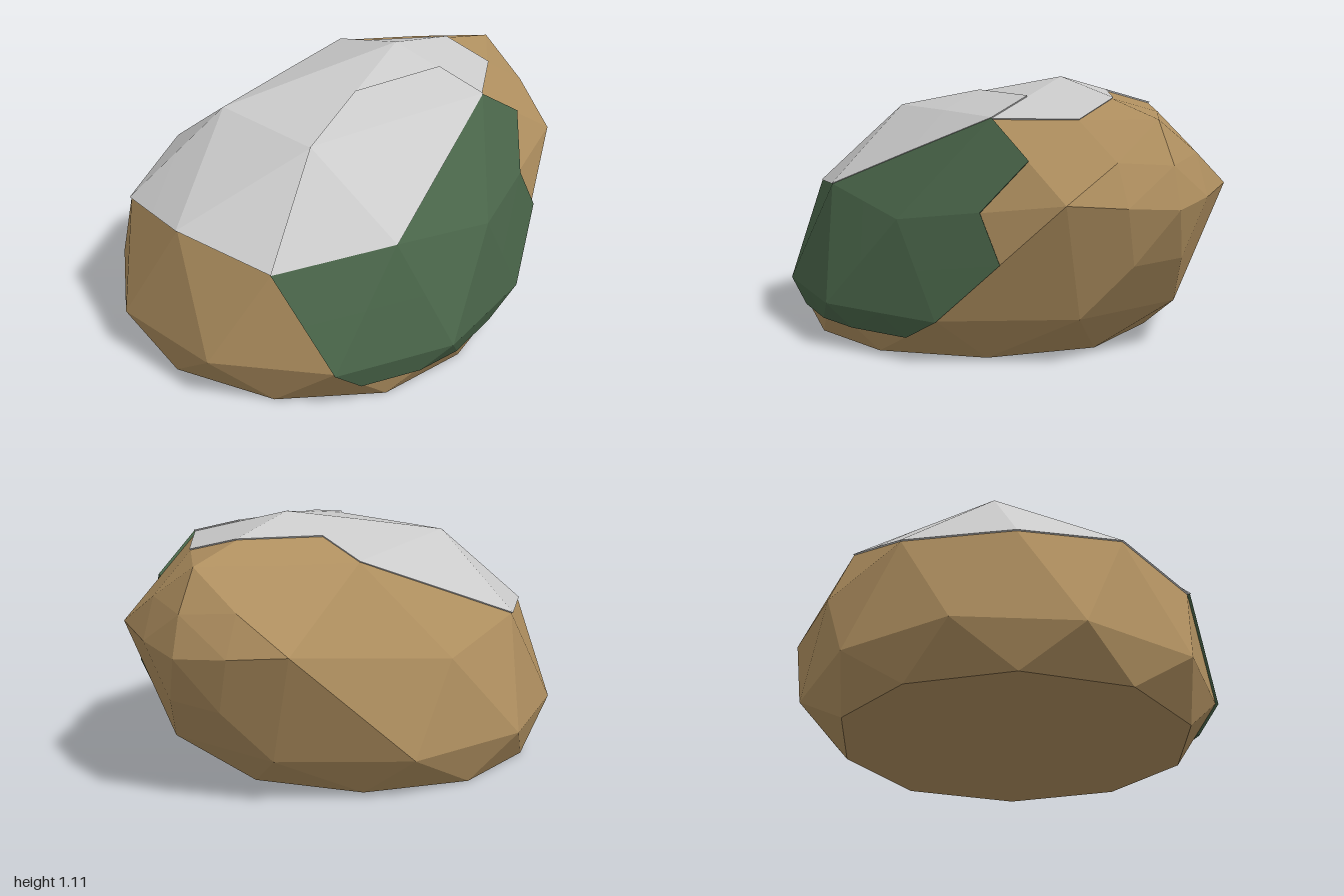
import * as THREE from 'three';

const V = (x, y, z) => new THREE.Vector3(x, y, z);
const CENTRE = V(-0.1, 0.35, 0);

// Half a ring of points, completed by mirroring across z = 0
function ring(half) {
  const pts = half.map(p => V(...p));
  const back = pts.filter(p => p.z > 0).reverse().map(p => V(p.x, p.y, -p.z));
  return [...pts, ...back];
}

// Faceted boulder: crown, shoulder, waist and foot rings joined in loops
function boulderTriangles() {
  const P = V(0.29, 1.105, 0);
  const M = ring([[0.87, 0.99, 0], [0.37, 0.975, 0.43], [-0.44, 0.935, 0.27]]);
  const R = ring([[1, 0.65, 0], [0.82, 0.69, 0.43], [0.12, 0.57, 0.71],
    [-0.37, 0.645, 0.685], [-0.81, 0.58, 0.45], [-0.915, 0.635, 0]]);
  const E = ring([[0.71, 0.2, 0.26], [0.34, 0.19, 0.69], [-0.2, 0.19, 0.84],
    [-0.7, 0.19, 0.69], [-1, 0.18, 0.27]]);
  const B = ring([[0.51, 0, 0], [0.35, 0, 0.44], [-0.02, 0, 0.71],
    [-0.44, 0, 0.71], [-0.8, 0, 0.44], [-0.95, 0, 0]]);
  const tris = [];
  for (let i = 0; i < 5; i++) {
    const a = M[i], b = M[(i + 1) % 5];
    const r0 = R[2 * i], r1 = R[2 * i + 1], r2 = R[(2 * i + 2) % 10];
    tris.push([P, b, a], [a, r1, r0], [a, b, r1], [b, r2, r1]);
  }
  const foot = V(-0.22, 0, 0);
  for (let k = 0; k < 10; k++) {
    const n = (k + 1) % 10;
    tris.push([R[k], R[n], E[k]], [E[k], R[n], E[n]]);
    tris.push([E[k], B[n], B[k]], [E[k], E[n], B[n]], [foot, B[k], B[n]]);
  }
  return tris.flatMap(splitFour);
}

// Midpoint that swells slightly on the overhanging nose
function middle(a, b) {
  const m = a.clone().add(b).multiplyScalar(0.5);
  if (m.x > 0.55 && m.y > 0.3 && Math.abs(m.z) < 0.25) m.x += 0.025;
  return m;
}

function splitFour([a, b, c]) {
  const ab = middle(a, b), bc = middle(b, c), ca = middle(c, a);
  return [[a, ab, ca], [ab, b, bc], [ca, bc, c], [ab, bc, ca]];
}

function meshFrom(name, tris, color) {
  const g = new THREE.BufferGeometry().setFromPoints(tris.flat());
  g.computeVertexNormals();
  const mesh = new THREE.Mesh(g, new THREE.MeshStandardMaterial({ color, flatShading: true }));
  mesh.name = name;
  return mesh;
}

// Raise some facets off the boulder and close their open rim with a skirt
function crust(tris, height) {
  const lift = p => p.clone().add(p.clone().sub(CENTRE).setLength(height));
  const key = p => p.toArray().map(v => Math.round(v * 1000)).join();
  const edges = new Map();
  for (const t of tris)
    t.forEach((p, i) => edges.set(key(p) + '|' + key(t[(i + 1) % 3]), [p, t[(i + 1) % 3]]));
  const out = tris.map(t => t.map(lift));
  for (const [p, q] of edges.values()) {
    if (edges.has(key(q) + '|' + key(p))) continue;
    out.push([p, q, lift(q)], [p, lift(q), lift(p)]);
  }
  return out;
}

function inside(x, y, poly) {
  let hit = false;
  poly.forEach(([ax, ay], i) => {
    const [bx, by] = poly[(i + 1) % poly.length];
    if ((ay > y) !== (by > y) && x < ax + (bx - ax) * (y - ay) / (by - ay)) hit = !hit;
  });
  return hit;
}

export function createModel() {
  const group = new THREE.Group();
  group.name = 'boulder';
  const tris = boulderTriangles();

  // Crust outlines: the caps in plan (x, z), the moss in elevation (x, y)
  const frontOutline = [[-0.81, 0.45], [-0.44, 0.27], [-0.075, 0.135], [0.33, 0.215],
    [0.37, 0.43], [-0.37, 0.69]];
  const capOutline = [[-0.81, 0.45], [-0.37, 0.69], [0.37, 0.43], [0.65, 0.215], [0.605, 0],
    [0.33, -0.215], [0.37, -0.43], [-0.37, -0.69], [-0.81, -0.45], [-0.92, 0]];
  const mossOutline = [[-0.81, 0.58], [-0.37, 0.645], [0.37, 0.975], [0.595, 0.832],
    [0.47, 0.63], [0.58, 0.44], [0.34, 0.19], [0.16, 0.095], [-0.57, 0.095], [-0.7, 0.19]];

  const frontCap = [], cap = [], moss = [];
  for (const t of tris) {
    const c = t[0].clone().add(t[1]).add(t[2]).divideScalar(3);
    if (c.y > 0.56 && inside(c.x, c.z, frontOutline)) frontCap.push(t);
    else if (c.y > 0.56 && inside(c.x, c.z, capOutline)) cap.push(t);
    else if (c.z > 0.3 && c.y > 0.05 && inside(c.x, c.y, mossOutline)) moss.push(t);
  }

  group.add(
    meshFrom('rock', tris, 0xb09060),
    meshFrom('topCap', crust(cap, 0.008), 0xcccccc),
    meshFrom('frontCap', crust(frontCap, 0.016), 0xcccccc),
    meshFrom('mossPatch', crust(moss, 0.012), 0x4a664a)
  );
  return group;
}
